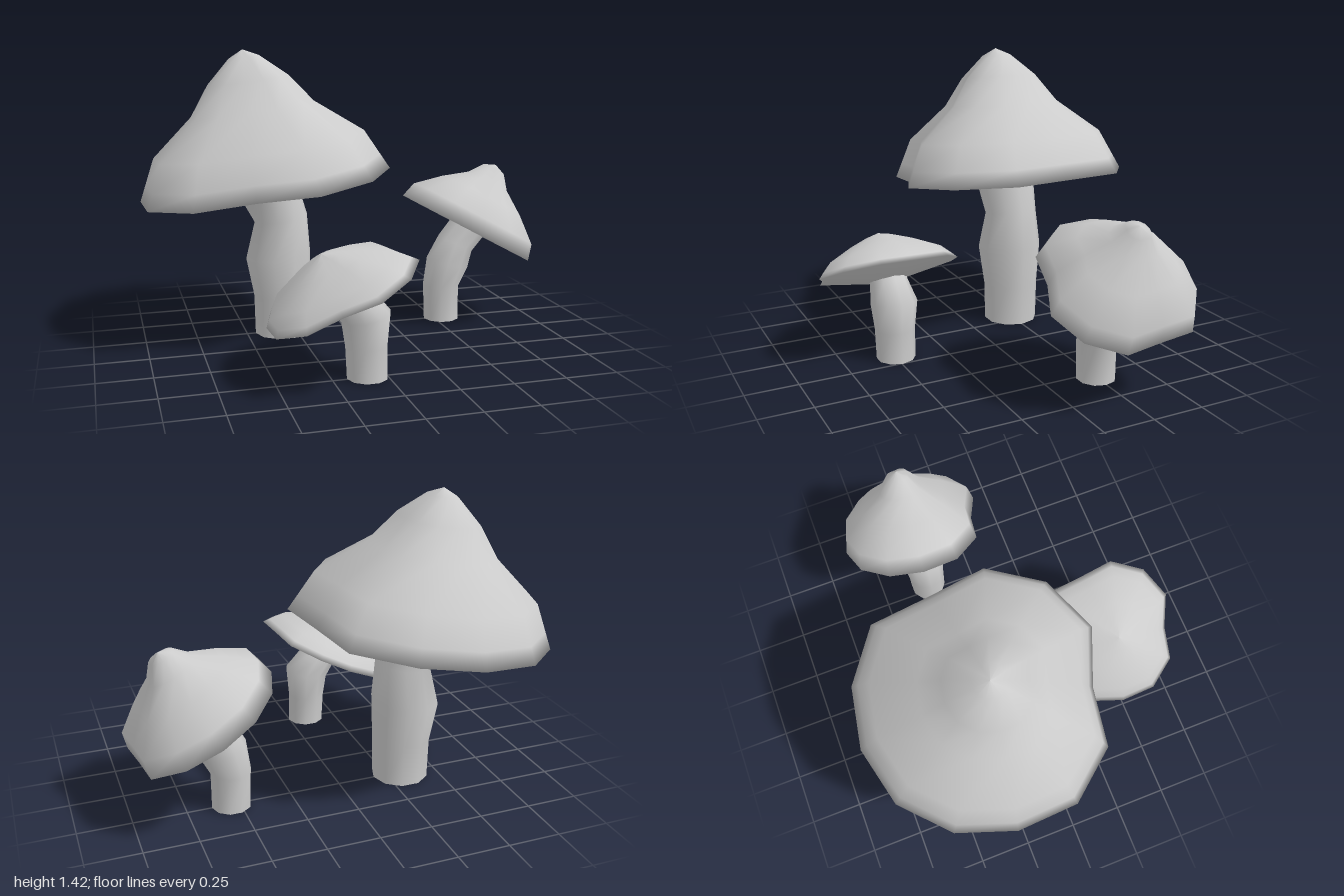
import * as THREE from 'three';

const material = new THREE.MeshStandardMaterial({ color: 0xcccccc, side: THREE.DoubleSide });

// Rim radius around the cap, with a deep dent at the front and a shallow one at the side
const RIM = [1.03, 1.04, 1, 0.82, 0.975, 1.01, 0.97, 0.98, 0.99, 0.98, 1, 1.04, 0.91];
const RIM_START = 0.35;

// Stem thickness from the ground up, and how far each ring leans towards the cap's tilt
const STEM_BULGE = [1, 1.03, 1.19, 0.97];
const STEM_LEAN = [0, 0, 0.4, 0.9, 1];
const STEM_SIDES = 10;

// Smooth surface through a list of closed rings, each an array of [x, y, z]
function loft(name, rings) {
  const n = rings[0].length;
  const index = [];
  for (let i = 0; i < rings.length - 1; i++) {
    for (let j = 0; j < n; j++) {
      const a = i * n + j, b = i * n + (j + 1) % n;
      index.push(a, a + n, b, b, a + n, b + n);
    }
  }
  const geometry = new THREE.BufferGeometry();
  geometry.setAttribute('position', new THREE.Float32BufferAttribute(rings.flat(2), 3));
  geometry.setIndex(index);
  geometry.computeVertexNormals();
  const mesh = new THREE.Mesh(geometry, material);
  mesh.name = name;
  return mesh;
}

// Cap: the dented rim on a tilted plane, scaled and lifted along the plane's normal,
// from the middle of the underside out to the rim and up to the tip
function makeCap(centre, radius, slope, underside, profile) {
  const k = 1 / Math.hypot(1, slope);
  const ring = ([scale, h]) => RIM.map((f, j) => {
    const angle = RIM_START + (j / RIM.length) * Math.PI * 2;
    const r = f * radius * scale;
    const u = r * Math.cos(angle);
    return [
      centre[0] + k * (u - slope * h),
      centre[1] + k * (slope * u + h),
      centre[2] + r * Math.sin(angle),
    ];
  });
  return loft('cap', [[0.001, underside], [0.28, underside], ...profile].map(ring));
}

// Stem: open bent tube through the points of a path in the x-y plane
function makeStem(path, z, radius, topRadius, slope) {
  return loft('stem', path.map(([x, y], i) => {
    const r = i < STEM_BULGE.length ? radius * STEM_BULGE[i] : topRadius;
    return Array.from({ length: STEM_SIDES }, (_, j) => {
      const angle = (j / STEM_SIDES) * Math.PI * 2;
      const dx = r * Math.cos(angle);
      return [x + dx, y + dx * slope * STEM_LEAN[i], z + r * Math.sin(angle)];
    });
  }));
}

function makeMushroom(name, { centre, radius, slope, underside, profile, path, stemRadius, topRadius }) {
  const mushroom = new THREE.Group();
  mushroom.name = name;
  mushroom.add(makeCap(centre, radius, slope, underside, profile));
  mushroom.add(makeStem(path, centre[2], stemRadius, topRadius, slope));
  return mushroom;
}

export function createModel() {
  const model = new THREE.Group();
  model.name = 'mushrooms';

  // Tall, bell-shaped cap, nearly level
  model.add(makeMushroom('largeMushroom', {
    centre: [-0.41, 0.77, -0.25], radius: 0.615, slope: 0.135, underside: -0.005,
    profile: [[1, 0], [0.94, 0.075], [0.84, 0.2], [0.49, 0.37], [0.32, 0.51], [0.12, 0.62], [0.001, 0.655]],
    path: [[-0.32, 0], [-0.32, 0.2], [-0.335, 0.4], [-0.32, 0.59], [-0.405, 0.79]],
    stemRadius: 0.137, topRadius: 0.155,
  }));

  // Flat cap leaning to the right, its underside bulging down
  model.add(makeMushroom('frontMushroom', {
    centre: [-0.215, 0.4, 0.495], radius: 0.362, slope: 0.47, underside: -0.045,
    profile: [[1, 0], [0.93, 0.027], [0.8, 0.073], [0.46, 0.133], [0.2, 0.17], [0.001, 0.19]],
    path: [[-0.09, 0], [-0.095, 0.15], [-0.097, 0.28], [-0.16, 0.36], [-0.21, 0.415]],
    stemRadius: 0.094, topRadius: 0.088,
  }));

  // Pointed cap leaning to the left
  model.add(makeMushroom('sideMushroom', {
    centre: [0.66, 0.485, -0.25], radius: 0.375, slope: -0.55, underside: 0,
    profile: [[1, 0], [0.94, 0.085], [0.62, 0.19], [0.3, 0.275], [0.16, 0.345], [0.001, 0.37]],
    path: [[0.54, 0], [0.537, 0.18], [0.572, 0.3], [0.615, 0.4], [0.69, 0.49]],
    stemRadius: 0.093, topRadius: 0.09,
  }));

  return model;
}
